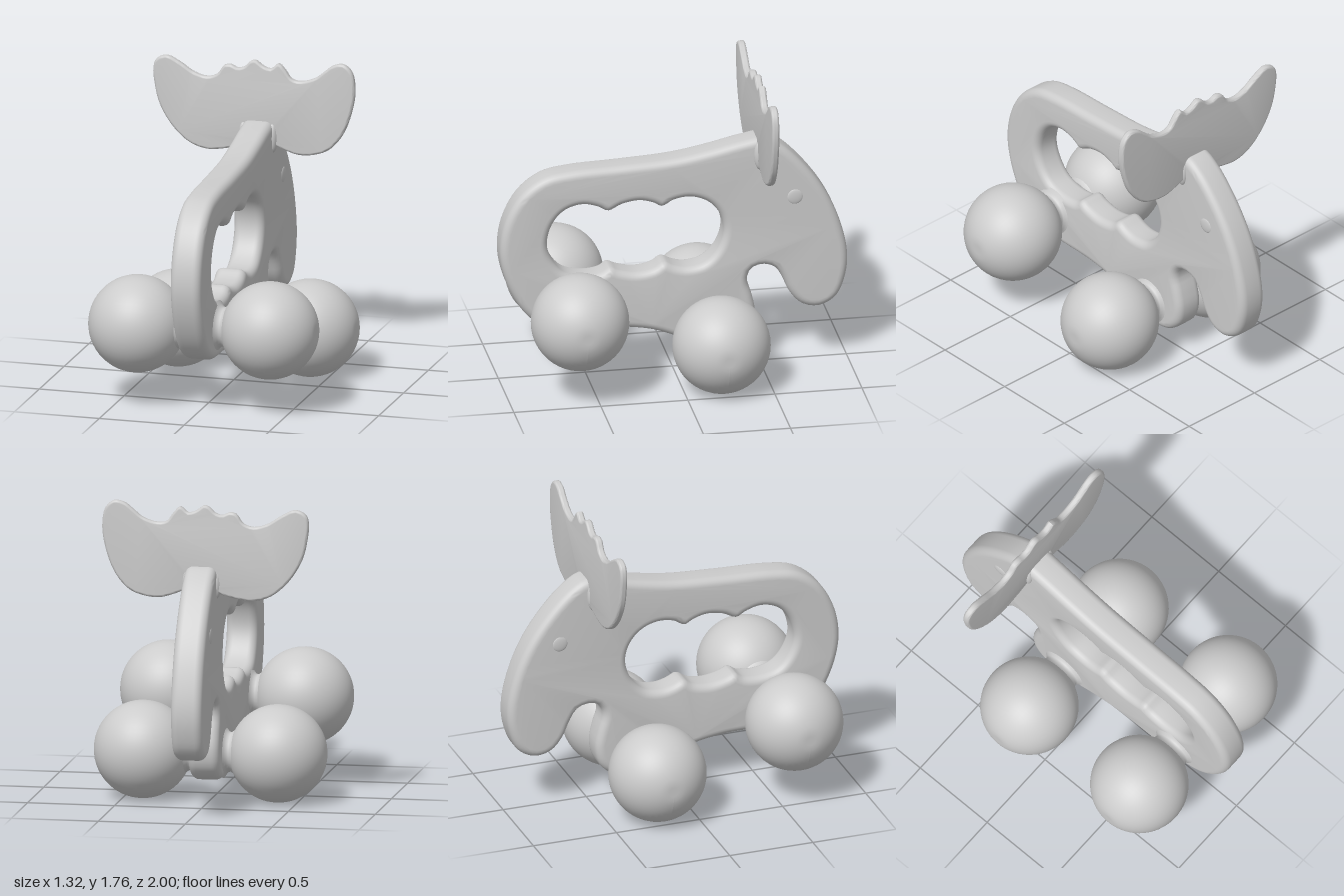
import * as THREE from 'three';
import { toCreasedNormals } from 'three/addons/utils/BufferGeometryUtils.js';

const material = new THREE.MeshStandardMaterial({ color: 0xcccccc });

function add(group, name, geometry, x = 0, y = 0, z = 0) {
  const mesh = new THREE.Mesh(geometry, material);
  mesh.name = name;
  mesh.position.set(x, y, z);
  group.add(mesh);
  return mesh;
}

// Closed smooth curve through a few points
function smoothLoop(points, samples) {
  const curve = new THREE.CatmullRomCurve3(
    points.map(([a, b]) => new THREE.Vector3(a, b, 0)), true, 'centripetal');
  return curve.getSpacedPoints(samples).slice(0, -1).map(p => new THREE.Vector2(p.x, p.y));
}

// Slab with rounded rims, centred on its thickness
function roundedSlab(outline, holes, thickness, round, segments) {
  const shape = new THREE.Shape(outline);
  holes.forEach(h => shape.holes.push(new THREE.Path(h)));
  const geometry = new THREE.ExtrudeGeometry(shape, {
    depth: thickness - 2 * round, steps: 1, bevelEnabled: true,
    bevelThickness: round, bevelSize: round, bevelOffset: -round, bevelSegments: segments,
  });
  geometry.translate(0, 0, -(thickness - 2 * round) / 2);
  return toCreasedNormals(geometry, 0.8);
}

// Body side profile as [z, y]
const BODY = [
  [1, 0.8], [0.97, 0.98], [0.88, 1.14], [0.75, 1.235], [0.6, 1.265], [0.3, 1.28], [0, 1.3],
  [-0.2, 1.335], [-0.4, 1.38], [-0.52, 1.395], [-0.62, 1.34], [-0.75, 1.21], [-0.87, 1.04],
  [-0.95, 0.86], [-0.995, 0.66], [-0.985, 0.52], [-0.93, 0.39], [-0.83, 0.337], [-0.73, 0.36],
  [-0.66, 0.44], [-0.62, 0.53], [-0.575, 0.595], [-0.5, 0.615], [-0.44, 0.59], [-0.42, 0.53],
  [-0.445, 0.44], [-0.465, 0.33], [-0.44, 0.22], [-0.36, 0.15], [-0.25, 0.132], [-0.12, 0.16],
  [0, 0.215], [0.12, 0.26], [0.3, 0.29], [0.5, 0.295], [0.68, 0.305], [0.8, 0.36],
  [0.89, 0.46], [0.97, 0.63],
];

// Grip opening with finger scallops as [z, y]
const GRIP = [
  [0.73, 0.83], [0.7, 0.95], [0.63, 1.03], [0.53, 1.06], [0.44, 1.04], [0.38, 1.01], [0.3, 1.045],
  [0.2, 1.06], [0.12, 1.04], [0.07, 1.015], [0, 1.05], [-0.1, 1.06], [-0.2, 1.02], [-0.265, 0.94],
  [-0.285, 0.84], [-0.25, 0.73], [-0.17, 0.65], [-0.07, 0.63], [0, 0.645], [0.06, 0.67],
  [0.12, 0.635], [0.22, 0.62], [0.32, 0.64], [0.37, 0.66], [0.42, 0.63], [0.52, 0.62],
  [0.63, 0.65], [0.7, 0.73],
];

// Antler plate outline as [x, y]
const ANTLERS = [
  [-0.617, 1.66], [-0.6, 1.71], [-0.54, 1.735], [-0.46, 1.7], [-0.38, 1.65], [-0.3, 1.63],
  [-0.24, 1.65], [-0.2, 1.703], [-0.16, 1.71], [-0.12, 1.693], [-0.075, 1.708], [-0.055, 1.73],
  [-0.02, 1.747], [0.03, 1.715], [0.075, 1.703], [0.12, 1.737], [0.16, 1.7], [0.2, 1.65],
  [0.26, 1.643], [0.34, 1.67], [0.39, 1.71], [0.44, 1.748], [0.5, 1.76], [0.55, 1.72],
  [0.57, 1.62], [0.555, 1.5], [0.5, 1.35], [0.42, 1.255], [0.34, 1.22], [0.24, 1.21],
  [0.15, 1.235], [0.08, 1.26], [-0.08, 1.25], [-0.12, 1.235], [-0.2, 1.215], [-0.3, 1.205],
  [-0.4, 1.235], [-0.5, 1.32], [-0.58, 1.45], [-0.61, 1.57],
];

// Ball wheel, slightly flattened on its outer side
function wheelGeometry(side) {
  const geometry = new THREE.SphereGeometry(0.279, 48, 32);
  geometry.rotateZ(Math.PI / 2);
  const p = geometry.attributes.position;
  for (let i = 0; i < p.count; i++) {
    if (p.getX(i) * side > 0.273) p.setX(i, 0.273 * side);
  }
  geometry.computeVertexNormals();
  return geometry;
}

// Flared hub joining wheel and body
function hubGeometry(side) {
  const profile = [[0.15, 0.08], [0.13, 0.093], [0.115, 0.105], [0.112, 0.12], [0.125, 0.14], [0.15, 0.17]]
    .map(([r, h]) => new THREE.Vector2(r, h));
  const geometry = new THREE.LatheGeometry(profile, 32);
  geometry.rotateZ(-side * Math.PI / 2);
  return geometry;
}

export function createModel() {
  const model = new THREE.Group();
  model.name = 'rollingMooseToy';

  // Flat body with grip opening
  const body = roundedSlab(smoothLoop(BODY, 180), [smoothLoop(GRIP, 130)], 0.18, 0.045, 6);
  body.rotateY(-Math.PI / 2);
  add(model, 'body', body);

  // Antlers crossing the top of the head
  add(model, 'antlers', roundedSlab(smoothLoop(ANTLERS, 170), [], 0.042, 0.014, 4), 0, 0, -0.495);

  for (const side of [1, -1]) {
    const label = side > 0 ? 'left' : 'right';

    // Eye
    add(model, label + 'Eye', new THREE.SphereGeometry(0.045, 24, 16), side * 0.088, 1.03, -0.69)
      .scale.x = 0.2;

    // Fillet where the antlers meet the head
    add(model, label + 'AntlerFillet', new THREE.SphereGeometry(1, 24, 16), side * 0.085, 1.3, -0.49)
      .scale.set(0.03, 0.09, 0.037);

    // Ball wheels at the head end and the tail end
    const wheels = [
      ['headEnd', 0.281, -0.213],
      ['tailEnd', side > 0 ? 0.482 : 0.466, side > 0 ? 0.6 : 0.61],
    ];
    for (const [end, y, z] of wheels) {
      add(model, label + '_' + end + 'Wheel', wheelGeometry(side), side * 0.389, y, z);
      add(model, label + '_' + end + 'Hub', hubGeometry(side), 0, y, z);
    }
  }
  return model;
}
